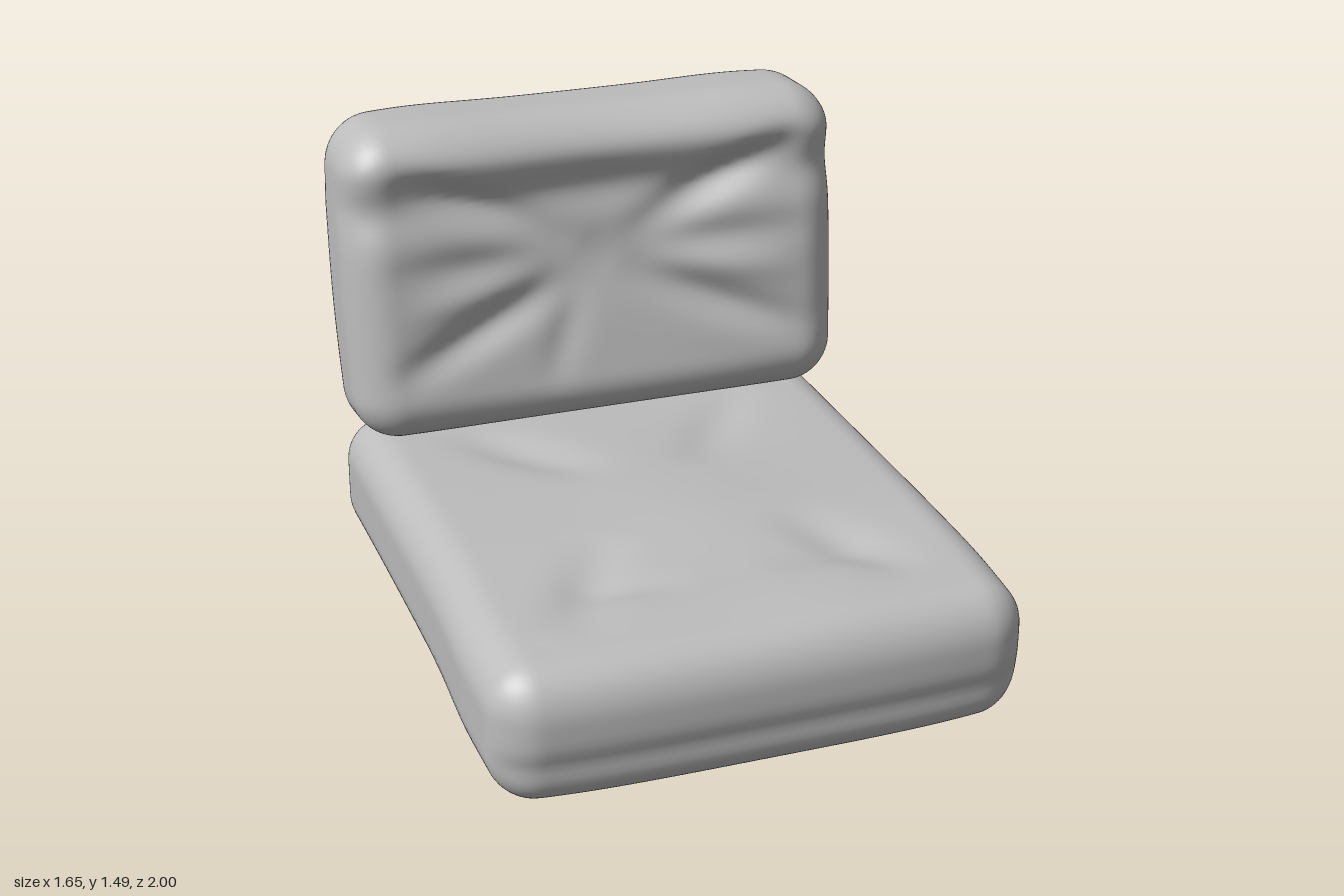
import * as THREE from 'three';
import { mergeVertices } from 'three/addons/utils/BufferGeometryUtils.js';

const { lerp, clamp, smoothstep } = THREE.MathUtils;
const bump = (x, centre, width) => Math.exp(-(((x - centre) / width) ** 2));

// Soft groove from a to b, fading out at both ends
function crease(x, y, [ax, ay], [bx, by], width) {
  const dx = bx - ax, dy = by - ay, len = Math.hypot(dx, dy);
  const s = ((x - ax) * dx + (y - ay) * dy) / (len * len);
  if (s <= 0 || s >= 1) return 0;
  const p = ((x - ax) * dy - (y - ay) * dx) / len;
  return bump(p, 0, width) * Math.sin(Math.PI * s) ** 1.3;
}

// Finely divided box with rounded edges, then moved by a shaping rule
function cushion(name, size, radius, material, shape) {
  const steps = size.map((s) => Math.round(s / 0.02));
  const box = new THREE.BoxGeometry(...size, ...steps);
  box.deleteAttribute('normal');
  box.deleteAttribute('uv');
  const geo = mergeVertices(box, 1e-4);
  geo.clearGroups();
  const pos = geo.attributes.position;
  const inner = new THREE.Vector3(...size).multiplyScalar(0.5).subScalar(radius);
  const outer = inner.clone().negate();
  const p = new THREE.Vector3(), q = new THREE.Vector3();
  for (let i = 0; i < pos.count; i++) {
    p.fromBufferAttribute(pos, i);
    q.copy(p).clamp(outer, inner);
    p.sub(q).setLength(radius).add(q);
    shape(p);
    pos.setXYZ(i, p.x, p.y, p.z);
  }
  geo.computeVertexNormals();
  const mesh = new THREE.Mesh(geo, material);
  mesh.name = name;
  return mesh;
}

// Seat: thicker toward the front, bulging underside, dimpled top
function shapeSeat(p) {
  const t = p.y / 0.4 + 0.5;
  const v = p.z / 1.85 + 0.5;
  const x = p.x, u = x / 0.8;
  let z = p.z + 0.075;
  const top = 0.475 - 0.04 * smoothstep(z, 0.2, 1);
  const bottom = 0.08 - 0.088 * v * v + 0.02 * u ** 4 * v;
  let y = lerp(bottom, top, t);

  const upper = smoothstep(t, 0.7, 1);
  let lift = 0.018 * bump(x, 0, 0.45) * bump(z, 0.2, 0.35);
  lift += 0.014 * bump(x, 0, 0.6) * bump(z, 0.75, 0.14);
  lift += 0.004 * Math.sin(7 * x + 3 * z) * Math.sin(6 * z - 2 * x) * (1 - u * u);
  for (const s of [-1, 1]) {
    lift -= 0.026 * crease(x, z, [s * 0.25, 0.3], [s * 0.55, 0.8], 0.09);
    lift -= 0.025 * crease(x, z, [s * 0.12, -0.05], [s * 0.52, -0.6], 0.09);
    lift -= 0.012 * crease(x, z, [s * 0.1, 0.62], [s * 0.5, 0.56], 0.06);
  }
  y += upper * lift;

  // bowed front with a shallow seam low down
  const frontness = smoothstep(v, 0.9, 1);
  z -= frontness * (0.025 * u ** 4 + 0.014 * bump(y, 0.15, 0.045)
    + 0.012 * (1 - smoothstep(y, 0.08, 0.2)));
  p.set(x * (1 + 0.015 * bump(z, 0.65, 0.25)) - 0.005, y, z);
}

// Backrest: leaning pillow with a curved back and a pinched, folded front
function shapeBack(p) {
  const t = p.z / 0.4 + 0.5;
  const v = clamp(p.y / 1.02 + 0.5, 0, 1);
  const x = p.x * (1 + 0.016 * Math.sin(Math.PI * v));
  const u = Math.abs(x) / 0.83;
  const y = p.y + 0.975 + 0.04 * (t - 0.25) * (1 - v) - 0.02 * (1 - t) * v
    + 0.012 * bump(Math.abs(x), 0.55, 0.25) * v * v;
  const front = -0.45 - 0.09 * v - 0.028 * bump(v, 0.75, 0.08) + 0.008 * bump(v, 0.87, 0.07)
    - 0.03 * u ** 5 * (1 - v) - 0.04 * bump(x, 0, 0.4) * v * v;
  const back = -0.83 - 0.34 * v + 0.165 * v * v + 0.05 * u ** 3;
  let z = lerp(back, front, t);

  const w = (y - 0.98) / 0.52;
  const mask = Math.max(0, 1 - u * u) * Math.max(0, 1 - w * w);
  let dent = 0.045 * mask * mask + 0.025 * bump(x, 0, 0.3) * bump(y, 1.04, 0.13);
  dent += 0.012 * bump(x, -0.05, 0.4) * bump(y, 1.22, 0.1);
  for (const s of [-1, 1]) {
    dent += 0.045 * crease(x, y, [s * 0.06, 1.06], [s * 0.76, 1.39], 0.06);
    dent += 0.018 * crease(x, y, [s * 0.1, 1.03], [s * 0.75, 1.05], 0.06);
    dent += 0.04 * crease(x, y, [s * 0.05, 0.98], [s * 0.74, 0.68], 0.06);
    dent -= 0.012 * crease(x, y, [s * 0.15, 1.0], [s * 0.7, 0.9], 0.05);
  }
  dent += 0.015 * crease(x, y, [-0.05, 0.98], [-0.2, 0.6], 0.06);
  z -= smoothstep(t, 0.7, 1) * dent;
  p.set(x, y, z);
}

export function createModel() {
  const fabric = new THREE.MeshStandardMaterial({ color: 0xbcbcbc });
  fabric.name = 'grey fabric';
  const group = new THREE.Group();
  group.name = 'seatCushions';
  group.add(cushion('seatCushion', [1.61, 0.4, 1.85], 0.135, fabric, shapeSeat));
  group.add(cushion('backCushion', [1.62, 1.02, 0.4], 0.145, fabric, shapeBack));
  return group;
}
